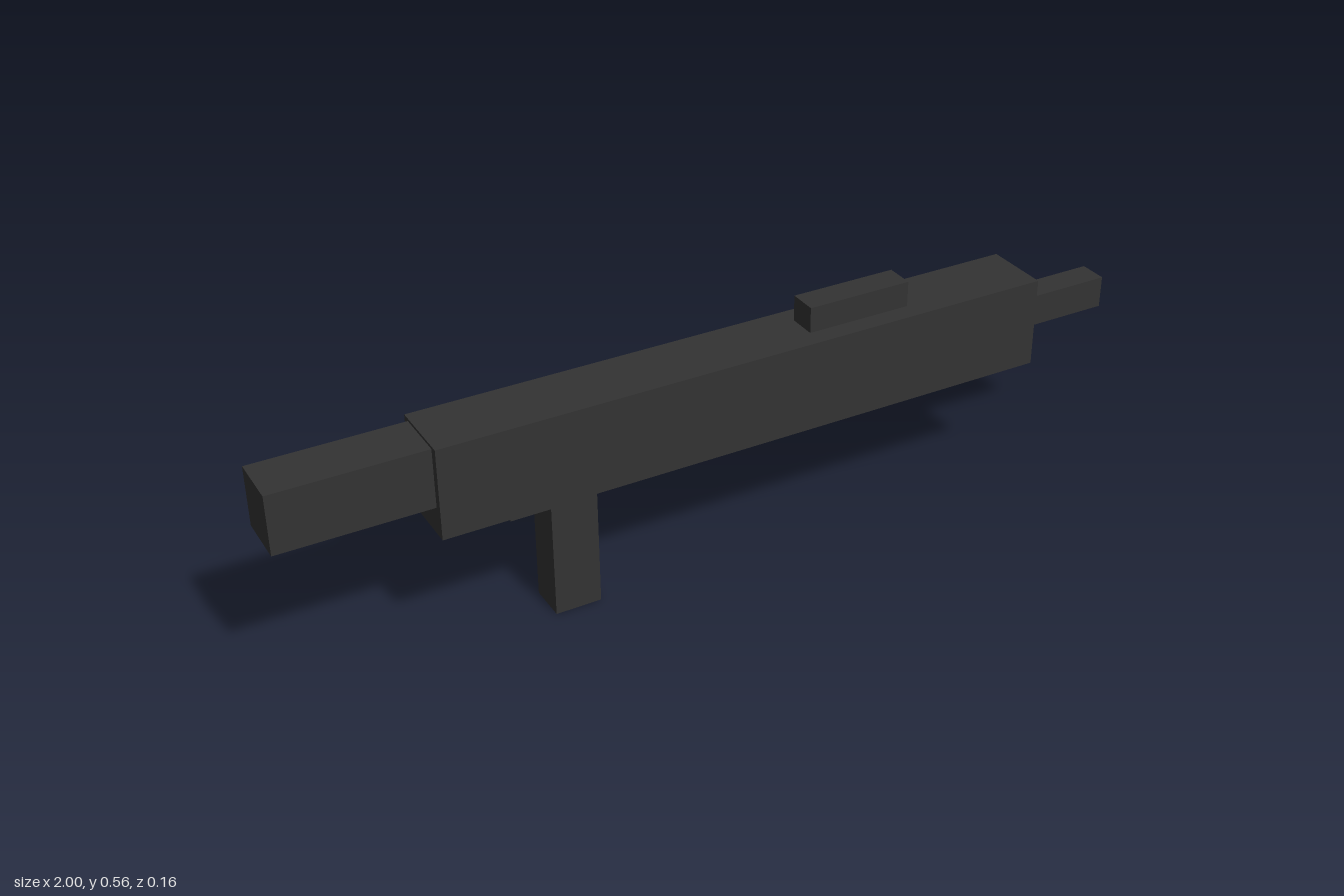
import * as THREE from 'three';

export function createModel() {
  const group = new THREE.Group();
  const darkGrey = new THREE.MeshStandardMaterial({ color: 0x333333 });
  darkGrey.name = 'darkGrey';

  // Box from its x and y extents and its depth, centred on z = 0
  const block = (name, x0, x1, y0, y1, depth) => {
    const mesh = new THREE.Mesh(new THREE.BoxGeometry(x1 - x0, y1 - y0, depth), darkGrey);
    mesh.name = name;
    mesh.position.set((x0 + x1) / 2, (y0 + y1) / 2, 0);
    group.add(mesh);
  };

  block('body', -0.665, 0.775, 0.293, 0.501, 0.155);
  block('stock', -1, -0.665, 0.36, 0.495, 0.12);
  block('barrel', 0.775, 1, 0.36, 0.434, 0.066);
  block('sight', 0.207, 0.454, 0.501, 0.56, 0.066);
  block('grip', -0.415, -0.31, 0, 0.293, 0.088);
  // Small plate under the body, behind the grip
  block('triggerPlate', -0.51, -0.413, 0.273, 0.293, 0.11);

  return group;
}
